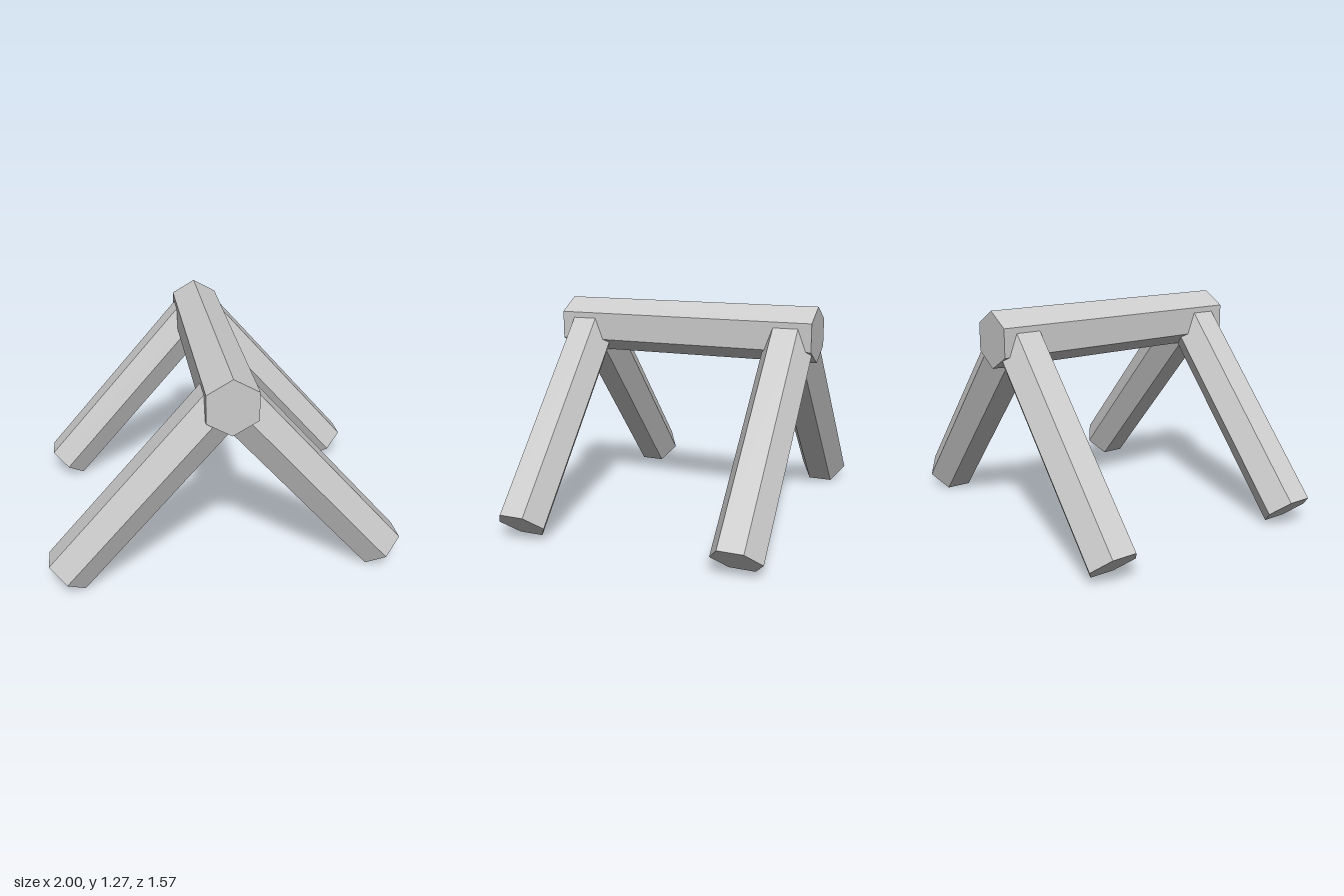
import * as THREE from 'three';

const grey = new THREE.MeshStandardMaterial({ color: 0xcccccc, flatShading: true });
grey.name = 'grey';

// Hexagonal bar running between two points, with corners facing +z and -z
function hexBar(name, radius, from, to) {
  const axis = to.clone().sub(from);
  const mesh = new THREE.Mesh(new THREE.CylinderGeometry(radius, radius, axis.length(), 6), grey);
  mesh.name = name;
  mesh.position.copy(from).add(to).multiplyScalar(0.5);
  mesh.quaternion.setFromUnitVectors(new THREE.Vector3(0, 1, 0), axis.normalize());
  return mesh;
}

export function createModel() {
  const model = new THREE.Group();
  model.name = 'trestle';

  // Ridge beam, corners up and down
  const beam = hexBar('ridgeBeam', 0.16, new THREE.Vector3(0, 1.11, -0.785), new THREE.Vector3(0, 1.11, 0.785));
  model.add(beam);

  // Four splayed legs meeting inside the beam
  for (const [end, z] of [['front', 0.635], ['back', -0.635]]) {
    for (const [side, s] of [['Left', 1], ['Right', -1]]) {
      const foot = new THREE.Vector3(s * 0.905, 0.083, z);
      const top = new THREE.Vector3(0, 1.125, z);
      model.add(hexBar(end + side + 'Leg', 0.145, foot, top));
    }
  }
  return model;
}
